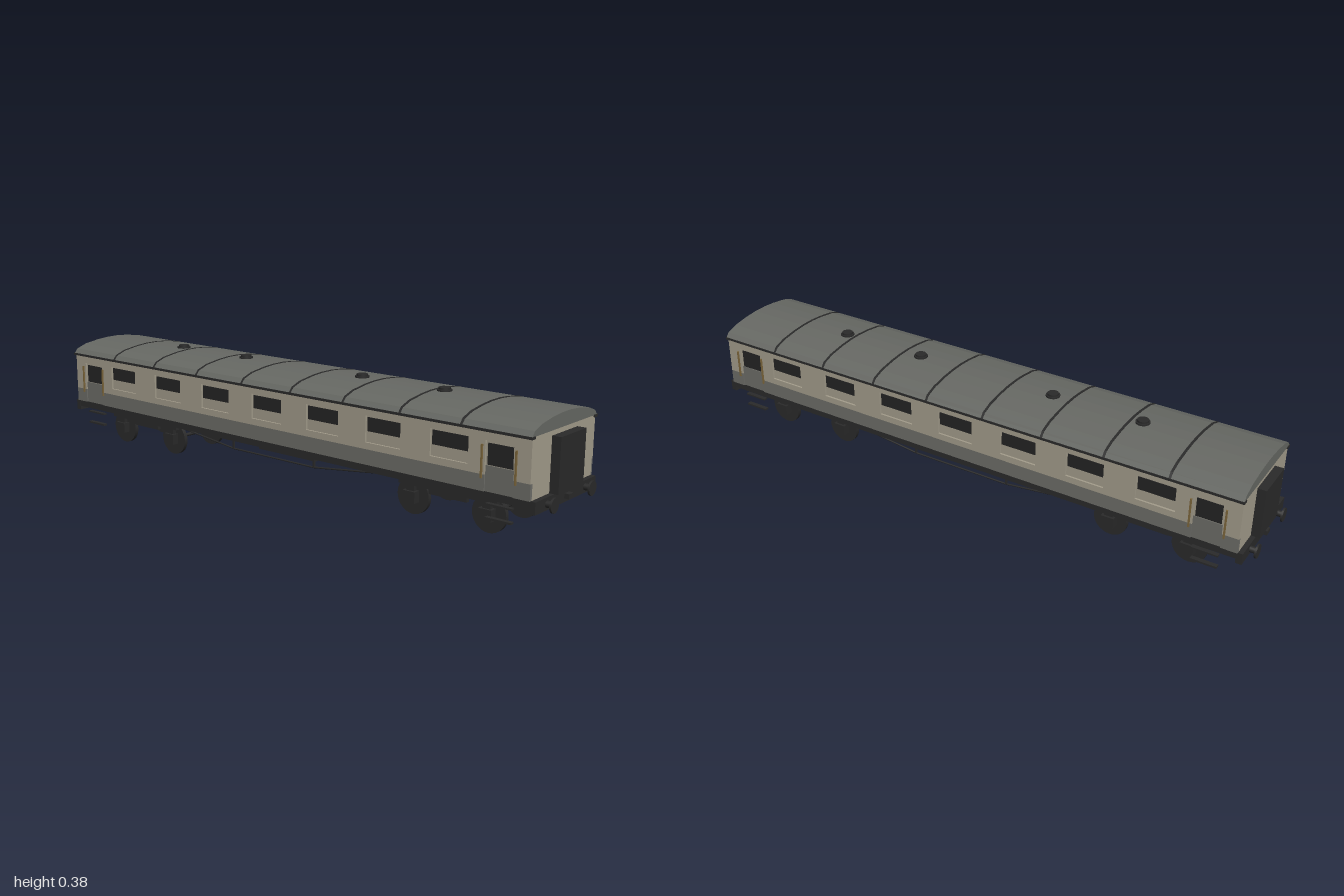
import * as THREE from 'three';

const paint = (name, color) => {
  const m = new THREE.MeshStandardMaterial({ color });
  m.name = name;
  return m;
};

export function createModel() {
  const root = new THREE.Group();
  root.name = 'railwayCoach';
  const cream = paint('cream', 0xa39c8b);
  const grey = paint('lowerGrey', 0x6d6d68);
  const roofGrey = paint('roofGrey', 0x666863);
  const dark = paint('dark', 0x2a2a2a);
  const glass = paint('glass', 0x242424);
  const brass = paint('brass', 0x7d673c);

  const add = (name, geometry, mat, x = 0, y = 0, z = 0, parent = root) => {
    const m = new THREE.Mesh(geometry, mat);
    m.name = name;
    m.position.set(x, y, z);
    parent.add(m);
    return m;
  };
  // Box given by its limits on each axis
  const box = (name, mat, x0, x1, y0, y1, z0, z1, parent = root) =>
    add(name, new THREE.BoxGeometry(Math.abs(x1 - x0), y1 - y0, Math.abs(z1 - z0)), mat,
      (x0 + x1) / 2, (y0 + y1) / 2, (z0 + z1) / 2, parent);
  // Cylinder along x, y or z
  const rod = (name, mat, axis, r, len, x, y, z, parent = root, seg = 20) => {
    const g = new THREE.CylinderGeometry(r, r, len, seg);
    if (axis === 'x') g.rotateZ(Math.PI / 2);
    if (axis === 'z') g.rotateX(Math.PI / 2);
    return add(name, g, mat, x, y, z, parent);
  };
  const points = (list) => list.map(([x, y]) => new THREE.Vector2(x, y));

  // Body core and underframe with a deeper beam at each end
  const core = 0.169, skin = 0.1755;
  box('body', cream, -0.96, 0.96, 0.146, 0.328, -core, core);
  box('underframe', dark, -0.965, 0.965, 0.124, 0.147, -0.17, 0.17);

  // Arched roof, extruded along x, with raised ribs
  const arch = [[0.182, 0.325], [0.168, 0.341], [0.13, 0.3545], [0.07, 0.3635], [0.024, 0.367]];
  const archGeometry = (length, lift) => {
    const half = arch.map(([z, y], i) => [z, y + (i ? lift : 0)]);
    const shape = new THREE.Shape(points([...half, ...half.map(([z, y]) => [-z, y]).reverse()]));
    const g = new THREE.ExtrudeGeometry(shape, { depth: length, bevelEnabled: false });
    g.translate(0, 0, -length / 2);
    return g.rotateY(Math.PI / 2);
  };
  add('roof', archGeometry(1.924, 0), roofGrey);
  for (let i = 0; i < 8; i++) add('roofRib', archGeometry(0.008, 0.0012), dark, -0.738 + i * 0.211);
  for (const x of [-0.565, -0.255, 0.25, 0.56]) {
    rod('ventBase', dark, 'y', 0.023, 0.006, x, 0.369, 0);
    rod('ventCap', dark, 'y', 0.018, 0.008, x, 0.374, 0);
  }

  // Outer side wall: cream sheet with window holes and a notch for each door
  const windows = [-3, -2, -1, 0, 1, 2, 3].map((i) => i * 0.2325);
  const doors = [-0.862, 0.862], doorHalf = 0.046;
  const wall = new THREE.Shape(points([
    [-0.96, 0.195],
    ...doors.flatMap((x) => [[x - doorHalf, 0.195], [x - doorHalf, 0.294], [x + doorHalf, 0.294], [x + doorHalf, 0.195]]),
    [0.96, 0.195], [0.96, 0.325], [-0.96, 0.325],
  ]));
  for (const x of windows) {
    wall.holes.push(new THREE.Path(points([
      [x - 0.064, 0.216], [x - 0.064, 0.298], [x + 0.064, 0.298], [x + 0.064, 0.216]])));
  }
  const wallGeometry = new THREE.ExtrudeGeometry(wall, { depth: skin - core, bevelEnabled: false });

  // Long sides
  for (const s of [-1, 1]) {
    const side = new THREE.Group();
    side.name = s > 0 ? 'frontSide' : 'backSide';
    root.add(side);
    add('sideWall', wallGeometry, cream, 0, 0, s > 0 ? core : -skin, side);
    box('gutter', dark, -0.964, 0.964, 0.319, 0.3265, s * 0.165, s * 0.183, side);
    for (const [a, b] of [[-0.96, -0.908], [-0.816, 0.816], [0.908, 0.96]]) {
      box('lowerPanel', grey, a, b, 0.147, 0.195, s * 0.165, s * skin, side);
    }
    for (const x of windows) {
      box('windowPane', glass, x - 0.06, x + 0.06, 0.25, 0.293, s * 0.168, s * 0.171, side);
    }
    for (const x of doors) {
      box('doorPanel', grey, x - doorHalf, x + doorHalf, 0.147, 0.222, s * 0.166, s * 0.171, side);
      box('doorWindow', glass, x - 0.04, x + 0.04, 0.224, 0.286, s * 0.166, s * 0.171, side);
      for (const d of [-0.054, 0.054]) {
        box('handrail', brass, x + d - 0.0025, x + d + 0.0025, 0.185, 0.282, s * 0.1775, s * 0.1825, side);
      }
      // Footboards below the doors
      box('lowerStep', dark, x - 0.042, x + 0.042, 0.068, 0.074, s * 0.158, s * 0.173, side);
      box('upperStep', dark, x - 0.042, x + 0.042, 0.109, 0.114, s * 0.158, s * 0.173, side);
    }
    // Truss rod with queen posts
    const path = new THREE.CurvePath();
    const p = [[-0.48, 0.126], [-0.176, 0.09], [0.176, 0.09], [0.48, 0.126]]
      .map(([x, y]) => new THREE.Vector3(x, y, s * 0.146));
    for (let i = 0; i < 3; i++) path.add(new THREE.LineCurve3(p[i], p[i + 1]));
    add('trussRod', new THREE.TubeGeometry(path, 60, 0.003, 8), dark, 0, 0, 0, side);
    for (const x of [-0.176, 0.176]) {
      box('queenPost', dark, x - 0.003, x + 0.003, 0.089, 0.125, s * 0.143, s * 0.149, side);
    }
  }
  box('batteryBox', dark, -0.125, 0.122, 0.084, 0.125, -0.077, 0.077);

  // Ends: beam, gangway, buffers and coupler
  for (const e of [-1, 1]) {
    const end = new THREE.Group();
    end.name = e > 0 ? 'leftEnd' : 'rightEnd';
    root.add(end);
    box('endBeam', dark, e * 0.955, e * 0.975, 0.11, 0.147, -0.171, 0.171, end);
    box('gangway', dark, e * 0.958, e * 0.988, 0.147, 0.31, -0.071, 0.071, end);
    box('coupler', dark, e * 0.97, e * 0.99, 0.121, 0.136, -0.012, 0.012, end);
    for (const s of [-1, 1]) {
      rod('bufferShank', dark, 'x', 0.01, 0.03, e * 0.982, 0.128, s * 0.108, end);
      rod('bufferHead', dark, 'x', 0.022, 0.006, e * 0.997, 0.128, s * 0.108, end);
    }
  }

  // Bogies
  for (const e of [-1, 1]) {
    const bogie = new THREE.Group();
    bogie.name = 'bogie';
    bogie.position.x = e * 0.656;
    root.add(bogie);
    box('bolster', dark, -0.024, 0.024, 0.1, 0.125, -0.115, 0.115, bogie);
    for (const s of [-1, 1]) {
      box('sideFrame', dark, -0.17, 0.17, 0.096, 0.108, s * 0.104, s * 0.12, bogie);
      box('springPlank', dark, -0.066, 0.066, 0.08, 0.097, s * 0.1, s * 0.114, bogie);
    }
    for (const x of [-0.132, 0.132]) {
      rod('axle', dark, 'z', 0.006, 0.2, x, 0.058, 0, bogie, 12);
      for (const s of [-1, 1]) {
        rod('wheel', dark, 'z', 0.057, 0.013, x, 0.057, s * 0.091, bogie, 28);
        box('axlebox', dark, x - 0.022, x + 0.022, 0.041, 0.077, s * 0.097, s * 0.122, bogie);
        box('axleGuard', dark, x - 0.014, x + 0.014, 0.075, 0.1, s * 0.1, s * 0.114, bogie);
      }
    }
  }
  return root;
}
